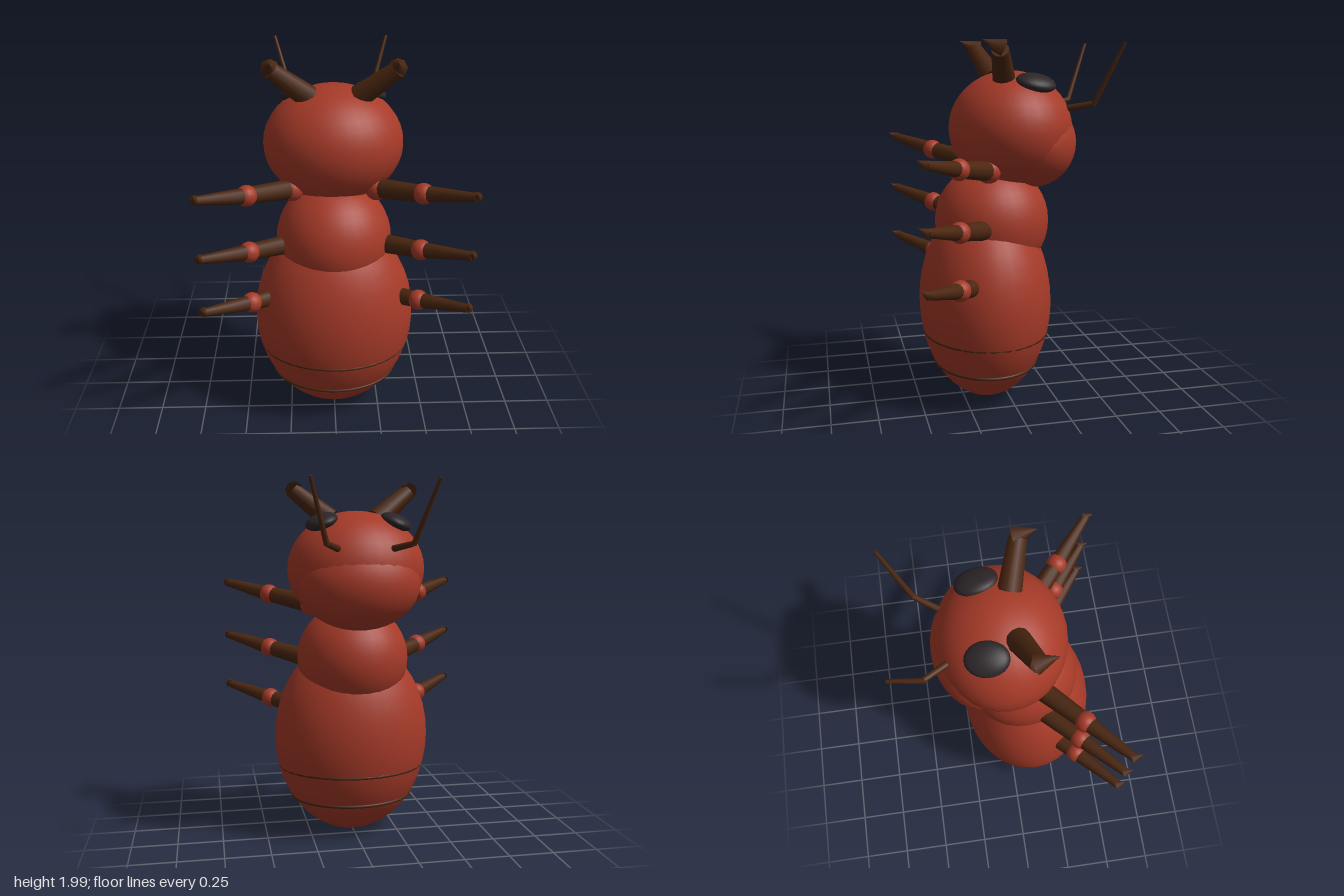
import * as THREE from 'three';

const material = (name, color) => {
  const m = new THREE.MeshStandardMaterial({ color });
  m.name = name;
  return m;
};

export function createModel() {
  const shell = material('rust red shell', 0xa63a28);
  const limb = material('dark brown limb', 0x4a2610);
  const eyeColor = material('charcoal eye', 0x2c2528);

  const model = new THREE.Group();
  model.name = 'ant';

  const add = (parent, name, geometry, mat) => {
    const mesh = new THREE.Mesh(geometry, mat);
    mesh.name = name;
    parent.add(mesh);
    return mesh;
  };

  // Ellipsoid from centre and three radii
  const ellipsoid = (parent, name, center, radii, mat, segments = 32) => {
    const mesh = add(parent, name, new THREE.SphereGeometry(1, segments, segments / 2 + 4), mat);
    mesh.position.set(...center);
    mesh.scale.set(...radii);
    return mesh;
  };

  // Tapered rod between two points
  const up = new THREE.Vector3(0, 1, 0);
  const rod = (parent, name, from, to, r0, r1, sides = 12) => {
    const a = new THREE.Vector3(...from);
    const b = new THREE.Vector3(...to);
    const dir = b.clone().sub(a);
    const mesh = add(parent, name, new THREE.CylinderGeometry(r1, r0, dir.length(), sides), limb);
    mesh.position.copy(a).add(b).multiplyScalar(0.5);
    mesh.quaternion.setFromUnitVectors(up, dir.normalize());
    return mesh;
  };

  // Body sections
  ellipsoid(model, 'abdomen', [0, 0.57, 0.117], [0.44, 0.56, 0.367], shell);
  ellipsoid(model, 'thorax', [0, 1.02, 0.075], [0.313, 0.315, 0.315], shell);
  ellipsoid(model, 'head', [0, 1.525, -0.03], [0.375, 0.312, 0.335], shell);
  ellipsoid(model, 'headBulge', [0, 1.45, -0.14], [0.33, 0.25, 0.247], shell);

  // Abdomen bands
  for (const [name, y, rx, rz] of [['lowerBand', 0.22, 0.343, 0.286], ['upperBand', 0.4, 0.408, 0.343]]) {
    const band = add(model, name, new THREE.TorusGeometry(1, 0.028, 8, 48), limb);
    band.rotation.x = Math.PI / 2;
    band.scale.set(rx, rz, 0.35);
    band.position.set(0, y, 0.117);
  }

  for (const s of [1, -1]) {
    const side = new THREE.Group();
    side.name = s > 0 ? 'leftSide' : 'rightSide';
    model.add(side);

    // Eye
    const eye = ellipsoid(side, 'eye', [s * 0.2, 1.777, -0.12], [0.087, 0.042, 0.11], eyeColor, 24);
    eye.rotation.set(-0.12, s * 0.12, -s * 0.35);

    // Mandible with pointed tip
    rod(side, 'mandible', [s * 0.13, 1.79, 0.035], [s * 0.32, 1.945, 0.1], 0.062, 0.045);
    rod(side, 'mandibleTip', [s * 0.32, 1.948, 0.085], [s * 0.315, 1.995, 0.19], 0.05, 0, 8);

    // Bent antenna
    rod(side, 'antennaBase', [s * 0.145, 1.638, -0.31], [s * 0.22, 1.665, -0.43], 0.018, 0.015);
    rod(side, 'antennaTip', [s * 0.22, 1.66, -0.428], [s * 0.317, 1.98, -0.56], 0.015, 0.009);

    // Three legs
    ['front', 'middle', 'rear'].forEach((label, i) => {
      const leg = new THREE.Group();
      leg.name = label + 'Leg';
      leg.position.y = [1.37, 1.055, 0.755][i];
      side.add(leg);
      ellipsoid(leg, 'hip', [s * 0.225, -0.045, 0.14], [0.065, 0.065, 0.065], shell, 16);
      rod(leg, 'upperLeg', [s * 0.225, -0.045, 0.14], [s * 0.445, 0, 0.335], 0.054, 0.043);
      ellipsoid(leg, 'knee', [s * 0.445, 0, 0.335], [0.055, 0.055, 0.055], shell, 16);
      rod(leg, 'lowerLeg', [s * 0.445, 0, 0.335], [s * 0.675, 0.058, 0.53], 0.043, 0.022);
      rod(leg, 'claw', [s * 0.675, 0.057, 0.522], [s * 0.672, 0.082, 0.568], 0.026, 0, 8);
    });
  }

  return model;
}
